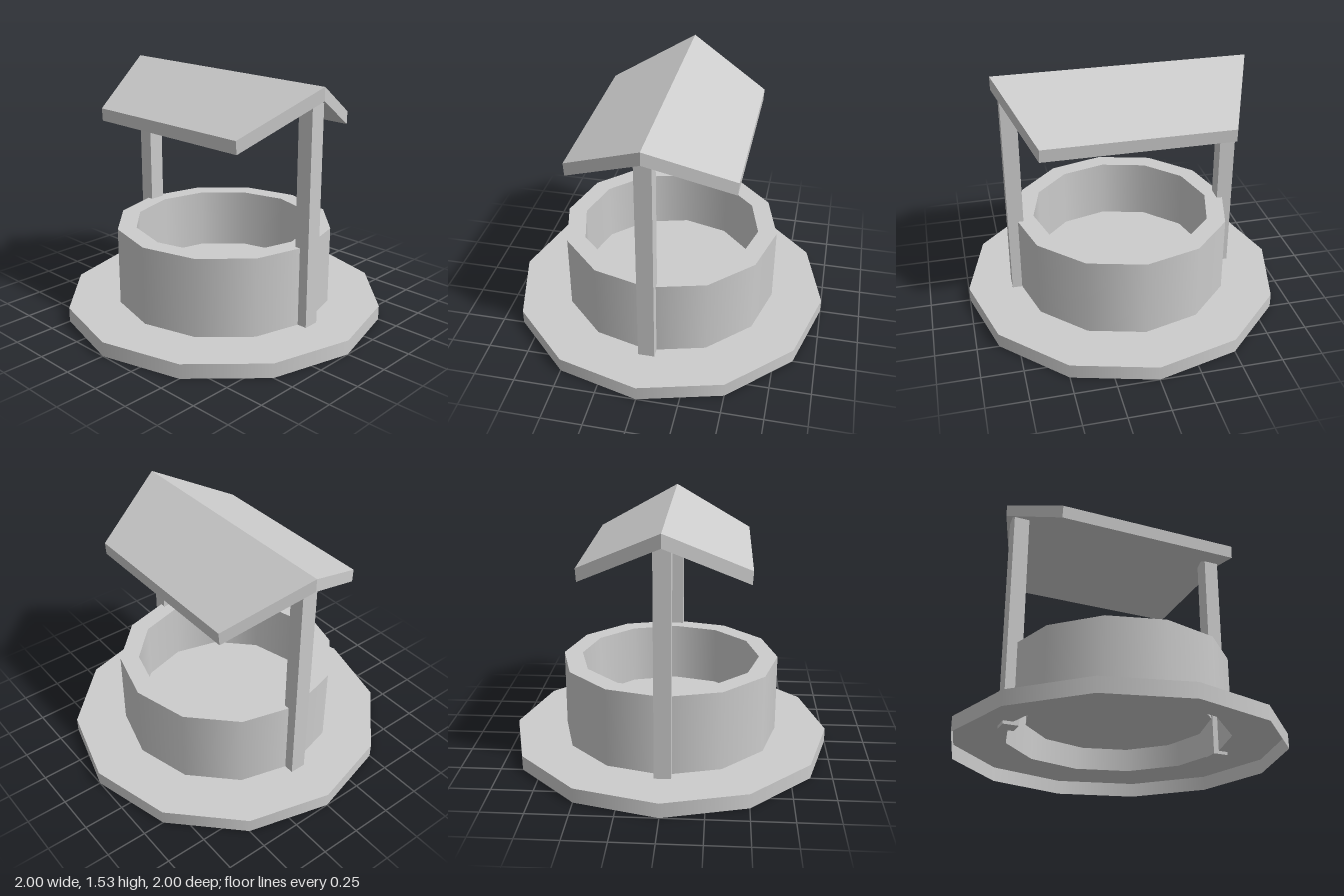
import * as THREE from 'three';

const stone = new THREE.MeshStandardMaterial({ color: 0xcccccc, side: THREE.DoubleSide });
stone.name = 'plain grey';

function part(name, geometry, parent) {
  const mesh = new THREE.Mesh(geometry, stone);
  mesh.name = name;
  parent.add(mesh);
  return mesh;
}

// Twelve-sided turned shell: smooth around, sharp between profile lines
function turned(name, profile, parent) {
  const group = new THREE.Group();
  group.name = name;
  parent.add(group);
  const points = profile.map(([r, y]) => new THREE.Vector2(r, y));
  for (let i = 0; i + 1 < points.length; i++) {
    const face = new THREE.LatheGeometry([points[i], points[i + 1]], 12);
    face.normalizeNormals();
    part(name + 'Face', face, group);
  }
}

// Outline in z and y, extruded along x and centred
function extrudeAlongX(outline, length) {
  const shape = new THREE.Shape(outline.map(([z, y]) => new THREE.Vector2(-z, y)));
  const geometry = new THREE.ExtrudeGeometry(shape, { depth: length, bevelEnabled: false });
  return geometry.translate(0, 0, -length / 2).rotateY(Math.PI / 2);
}

export function createModel() {
  const model = new THREE.Group();
  model.name = 'well';

  const outer = 0.677, inner = 0.56, slabTop = 0.09;

  // Base slab, a thin shell open underneath
  turned('base', [[1, 0], [1, slabTop], [outer, slabTop]], model);

  // Hollow well wall with a raised floor inside
  turned('wall', [[outer, slabTop], [outer, 0.58], [inner, 0.58], [inner, 0.2]], model);
  turned('floor', [[inner, 0.2], [0, 0.2]], model);

  // Posts with peaked tops that meet the roof
  const postOutline = [[-0.05, 0.07], [0.05, 0.07], [0.05, 1.432], [0, 1.457], [-0.05, 1.432]];
  for (const side of [1, -1]) {
    const post = part(side > 0 ? 'leftPost' : 'rightPost', extrudeAlongX(postOutline, 0.096), model);
    post.position.x = side * 0.677;
  }

  // Roof slopes, shorter at the eaves than at the ridge
  const slope = extrudeAlongX([[0, 1.455], [0.487, 1.21], [0.492, 1.288], [0, 1.535]], 2);
  const p = slope.attributes.position;
  for (let i = 0; i < p.count; i++) {
    p.setX(i, p.getX(i) * (0.766 - 0.2 * p.getZ(i) / 0.49));
  }
  slope.computeVertexNormals();
  part('frontRoof', slope, model);
  part('backRoof', slope, model).rotation.y = Math.PI;

  return model;
}
